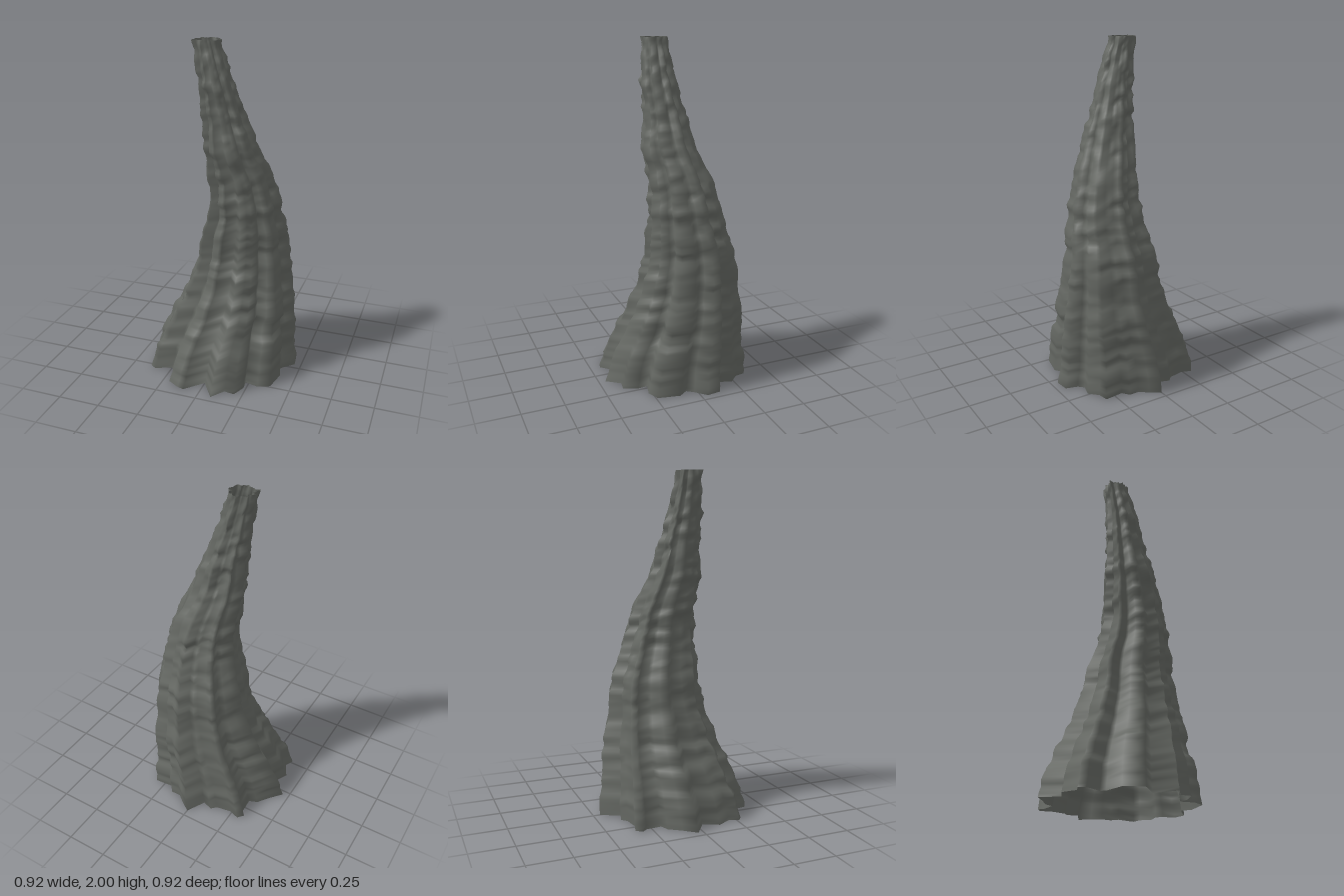
import * as THREE from 'three';

// Lobed cross-section at the foot, as x, z pairs
const OUTLINE = [
  0, -.46, .06, -.42, .11, -.38, .17, -.38, .2, -.34, .31, -.35, .32, -.29, .37, -.24, .35, -.17, .38, -.14,
  .45, -.12, .46, -.04, .4, .02, .37, .06, .405, .11, .38, .24, .31, .27, .23, .25, .235, .31, .2, .39,
  .14, .38, .08, .46, 0, .34, -.1, .44, -.14, .43, -.21, .39, -.23, .27, -.255, .25, -.35, .29, -.385, .265,
  -.36, .21, -.405, .13, -.36, .04, -.46, -.03, -.4, -.1, -.35, -.17, -.3, -.19, -.305, -.28, -.33, -.31,
  -.3, -.345, -.24, -.325, -.15, -.34, -.12, -.37, -.06, -.35,
];
// Centre line and radius at every 0.2 of height
const SPINE_X = [0, .025, .073, .1, .112, .125, .107, .054, .018, -.025, -.07];
const SPINE_Z = [0, -.022, -.05, -.065, -.068, -.035, -.01, .038, .056, .076, .08];
const RADIUS = [.455, .413, .354, .3, .264, .222, .191, .156, .122, .1, .073];
const ROWS = 110;

// Seeded lattice value in -1..1
function hash(i, j) {
  const s = Math.sin(i * 127.1 + j * 311.7 + 5.3) * 43758.5453;
  return (s - Math.floor(s)) * 2 - 1;
}

// Smooth noise that wraps around the trunk after `wrap` cells
function noise(u, v, wrap) {
  const i = Math.floor(u), j = Math.floor(v);
  const a = THREE.MathUtils.smoothstep(u - i, 0, 1), b = THREE.MathUtils.smoothstep(v - j, 0, 1);
  const i0 = i % wrap, i1 = (i + 1) % wrap;
  return THREE.MathUtils.lerp(
    THREE.MathUtils.lerp(hash(i0, j), hash(i1, j), a),
    THREE.MathUtils.lerp(hash(i0, j + 1), hash(i1, j + 1), a), b);
}

function trunkGeometry() {
  const spine = new THREE.CatmullRomCurve3(
    SPINE_X.map((x, i) => new THREE.Vector3(x, i * .2, SPINE_Z[i])), false, 'catmullrom');
  const taper = new THREE.SplineCurve(RADIUS.map((r, i) => new THREE.Vector2(r, i * .2)));
  const cols = OUTLINE.length / 2;
  const positions = [], indices = [];
  for (let j = 0; j <= ROWS; j++) {
    const t = j / ROWS, y = 2 * t;
    const c = spine.getPoint(t), r = taper.getPoint(t).x;
    for (let i = 0; i < cols; i++) {
      const x = OUTLINE[2 * i], z = OUTLINE[2 * i + 1], len = Math.hypot(x, z);
      // Bark ripples: bands around the trunk plus finer roughness
      const u = i / cols;
      const bump = .011 * noise(u * 11, y * 20, 11) + .008 * noise(u * 22, y * 34 + 90, 22);
      const k = r / .455 + bump * Math.min(1, t * 20) / len;
      positions.push(c.x + x * k, y, c.z + z * k);
      if (j < ROWS) {
        const a = j * cols + i, b = j * cols + (i + 1) % cols;
        indices.push(a, a + cols, b, b, a + cols, b + cols);
      }
    }
  }
  const g = new THREE.BufferGeometry();
  g.setAttribute('position', new THREE.Float32BufferAttribute(positions, 3));
  g.setIndex(indices);
  g.computeVertexNormals();
  return g;
}

export function createModel() {
  const group = new THREE.Group();
  group.name = 'hollowTrunk';
  const bark = new THREE.MeshStandardMaterial({ color: 0x636661, side: THREE.DoubleSide });
  bark.name = 'darkGreyBark';
  // Open-ended ridged shell
  const trunk = new THREE.Mesh(trunkGeometry(), bark);
  trunk.name = 'trunkShell';
  group.add(trunk);
  return group;
}
